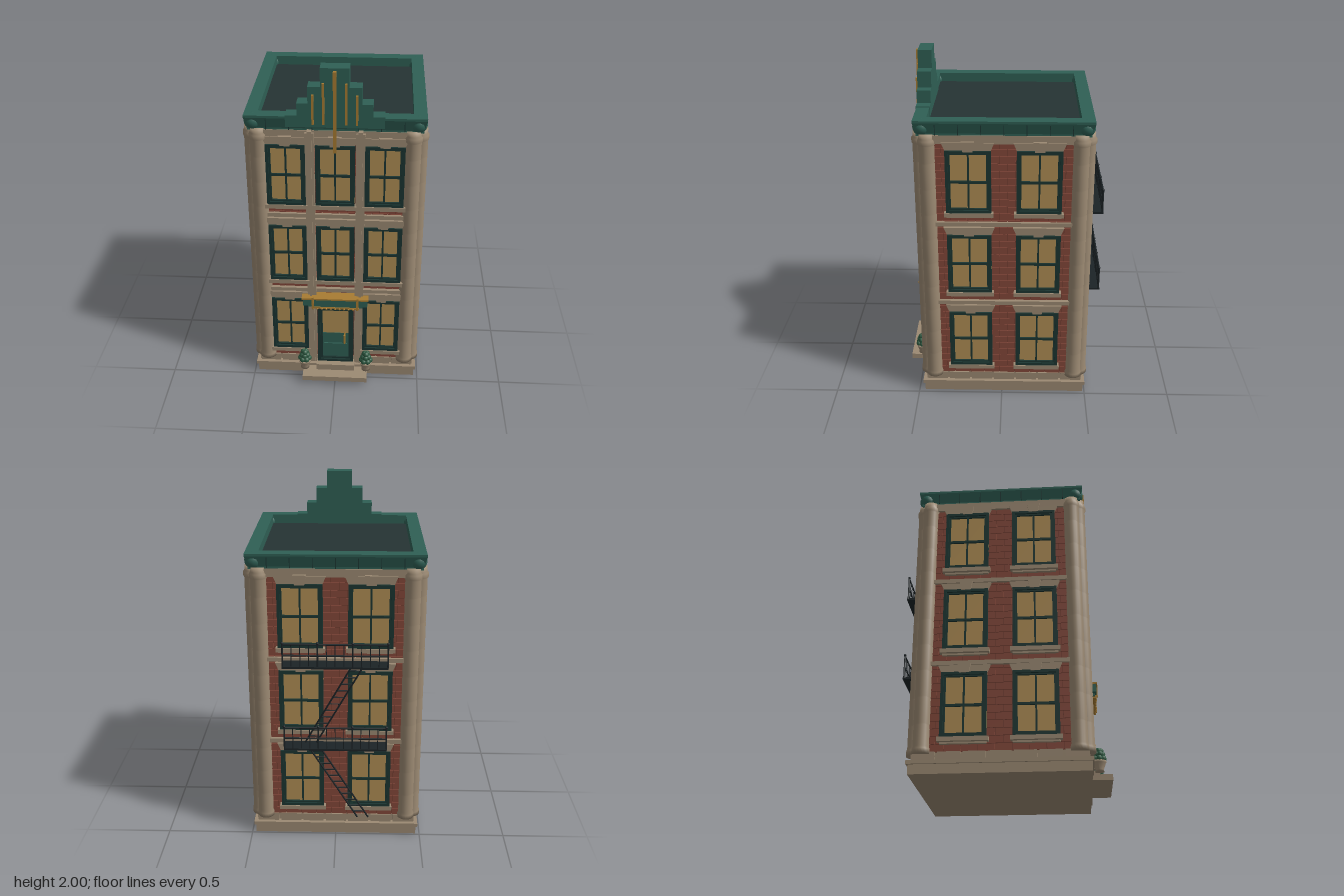
import * as THREE from 'three';
import { mergeGeometries } from 'three/addons/utils/BufferGeometryUtils.js';

const mat = (color) => new THREE.MeshStandardMaterial({ color });
const M = {
  stone: mat(0x9c8a73), brick: mat(0x84483a), mortar: mat(0x6a382c), green: mat(0x2f6055),
  frame: mat(0x1b3531), pane: mat(0xb08e55), gold: mat(0xa87c32), iron: mat(0x1c2326),
  roof: mat(0x263433), leaf: mat(0x2c5840),
};
const WALL = 0.455, ZC = -0.0125;

// box geometry given by its limits
const span = (x0, x1, y0, y1, z0, z1) =>
  new THREE.BoxGeometry(x1 - x0, y1 - y0, z1 - z0).translate((x0 + x1) / 2, (y0 + y1) / 2, (z0 + z1) / 2);

function add(parent, name, material, geos) {
  const list = [].concat(geos).map((g) => (g.index ? g.toNonIndexed() : g));
  const mesh = new THREE.Mesh(list.length > 1 ? mergeGeometries(list) : list[0], material);
  mesh.name = name;
  parent.add(mesh);
  return mesh;
}

function extrude(points, depth, z) {
  const shape = new THREE.Shape(points.map(([x, y]) => new THREE.Vector2(x, y)));
  return new THREE.ExtrudeGeometry(shape, { depth, bevelEnabled: false }).translate(0, 0, z);
}

// straight bar between two points
function bar(a, b, r) {
  const p = new THREE.Vector3(...a), q = new THREE.Vector3(...b), d = q.clone().sub(p);
  const g = new THREE.CylinderGeometry(r, r, d.length(), 6);
  g.applyQuaternion(new THREE.Quaternion().setFromUnitVectors(new THREE.Vector3(0, 1, 0), d.normalize()));
  return g.translate(...p.add(q).multiplyScalar(0.5).toArray());
}

// picture-frame border of bars around a rectangle
const border = (w, y0, y1, t, z0, z1) => [
  span(-w, -w + t, y0, y1, z0, z1), span(w - t, w, y0, y1, z0, z1),
  span(-w + t, w - t, y0, y0 + t, z0, z1), span(-w + t, w - t, y1 - t, y1, z0, z1)];

function makeWindow(w) {
  const g = new THREE.Group();
  g.name = 'window';
  const i = w - 0.022;
  add(g, 'windowPanes', M.pane, span(-w, w, 0, 0.36, WALL, WALL + 0.012));
  add(g, 'windowFrame', M.frame, [...border(w, 0, 0.365, 0.016, WALL, WALL + 0.034),
    ...border(w - 0.014, 0.012, 0.353, 0.012, WALL, WALL + 0.024),
    span(-0.005, 0.005, 0.02, 0.35, WALL, WALL + 0.021),
    span(-i, i, 0.172, 0.186, WALL, WALL + 0.022)]);
  add(g, 'windowSill', M.stone, [span(-w - 0.012, w + 0.012, -0.024, 0, WALL, WALL + 0.04),
    span(-w, w, -0.034, -0.024, WALL, WALL + 0.022)]);
  add(g, 'windowLintel', M.stone, [
    extrude([[-w, 0.365], [w, 0.365], [w + 0.018, 0.408], [-w - 0.018, 0.408]], 0.024, WALL),
    extrude([[-0.027, 0.36], [0.027, 0.36], [0.036, 0.415], [-0.036, 0.415]], 0.036, WALL)]);
  return g;
}

// running-bond brickwork on one wall
function bricks() {
  const out = [], h = 0.0425, w = 0.09, end = 0.385;
  for (let r = 0; r < 35; r++) {
    const y = 0.12 + r * h;
    for (let x = -end - (r % 2) * w / 2; x < end; x += w) {
      const a = Math.max(x, -end) + 0.0015, b = Math.min(x + w, end) - 0.0015;
      if (b - a > 0.01) out.push(span(a, b, y + 0.0015, y + h - 0.0015, WALL - 0.003, WALL + 0.004));
    }
  }
  return out;
}

function makeFacade(isFront) {
  const g = new THREE.Group();
  g.name = isFront ? 'frontFacade' : 'facade';
  add(g, 'brickwork', M.brick, bricks());
  const bands = [span(-0.4, 0.4, 1.598, 1.645, WALL - 0.01, WALL + 0.018)];
  for (const y of [0.605, 1.11]) bands.push(span(-0.4, 0.4, y, y + 0.024, WALL - 0.01, WALL + 0.02));
  for (let i = 0; i < 7; i++) bands.push(span(-0.46 + i * 0.1335, -0.34 + i * 0.1335, 0.07, 0.122, 0.44, 0.466));
  add(g, 'stoneBands', M.stone, bands);
  const cols = isFront ? [-0.268, 0, 0.268] : [-0.193, 0.193];
  for (let f = 0; f < 3; f++) for (const x of cols) {
    if (isFront && f === 0 && x === 0) continue;
    const win = makeWindow(isFront ? 0.107 : 0.124);
    win.position.set(x, 0.193 + f * 0.5025, 0);
    g.add(win);
  }
  return g;
}

function makeEntrance() {
  const g = new THREE.Group();
  g.name = 'entrance';
  // tall pilasters with raised fillets
  for (const s of [-1, 1]) {
    const x = s * 0.137;
    add(g, 'pilaster', M.stone, [span(x - 0.025, x + 0.025, 0.1, 1.635, WALL, 0.488),
      span(x - 0.012, x + 0.012, 0.1, 1.65, WALL, 0.5)]);
  }
  // door
  add(g, 'doorLeaf', M.green, [span(-0.09, 0.09, 0.1, 0.3, WALL, 0.468), span(-0.07, 0.07, 0.145, 0.225, WALL, 0.476)]);
  add(g, 'doorGlass', M.pane, span(-0.08, 0.08, 0.29, 0.48, WALL, 0.466));
  add(g, 'doorFrame', M.frame, [...border(0.107, 0.095, 0.5, 0.018, WALL, 0.49),
    ...border(0.09, 0.11, 0.485, 0.012, WALL, 0.478)]);
  add(g, 'doorHandle', M.gold, [bar([0.055, 0.25, 0.502], [0.055, 0.31, 0.502], 0.007),
    bar([0.055, 0.26, 0.46], [0.055, 0.26, 0.502], 0.004), bar([0.055, 0.3, 0.46], [0.055, 0.3, 0.502], 0.004)]);
  // canopy with gold trim
  add(g, 'canopy', M.green, [span(-0.188, 0.188, 0.537, 0.584, WALL, 0.522), span(-0.16, 0.16, 0.525, 0.54, WALL, 0.515)]);
  const trim = [span(-0.195, 0.195, 0.582, 0.592, WALL, 0.527), span(-0.14, 0.14, 0.516, 0.527, WALL, 0.52)];
  for (let i = -5; i <= 5; i++) trim.push(new THREE.SphereGeometry(0.007, 8, 6).translate(i * 0.026, 0.516, 0.518));
  for (const s of [-1, 1]) trim.push(span(s * 0.13 - 0.006, s * 0.13 + 0.006, 0.525, 0.6, 0.5, 0.53));
  add(g, 'canopyTrim', M.gold, trim);
  // steps
  add(g, 'entranceSteps', M.stone, [span(-0.195, 0.193, 0.026, 0.058, 0.44, 0.59), span(-0.115, 0.115, 0.055, 0.098, 0.44, 0.525)]);
  // potted shrubs
  const pot = [[0, 0], [0.026, 0], [0.022, 0.01], [0.035, 0.048], [0.038, 0.05], [0.038, 0.06], [0, 0.06]];
  for (const s of [-1, 1]) {
    const p = new THREE.Group();
    p.name = 'planter';
    p.position.set(s * 0.185, 0.074, 0.52);
    add(p, 'pot', M.stone, new THREE.LatheGeometry(pot.map(([x, y]) => new THREE.Vector2(x, y)), 14));
    const leaves = [];
    for (const [n, r, y] of [[6, 0.024, 0.07], [5, 0.016, 0.095], [3, 0.008, 0.115]])
      for (let i = 0; i < n; i++) {
        const a = (i / n) * Math.PI * 2 + y * 30;
        leaves.push(new THREE.IcosahedronGeometry(0.018, 1).translate(r * Math.cos(a), y, r * Math.sin(a)));
      }
    add(p, 'shrub', M.leaf, leaves);
    g.add(p);
  }
  return g;
}

// paired corner columns built of drums
function makeColumn() {
  const pts = [[0, 0.11], [0.05, 0.11], [0.05, 0.135], [0.045, 0.15]];
  for (let y = 0.27; y < 1.55; y += 0.152) pts.push([0.045, y - 0.004], [0.0415, y], [0.045, y + 0.004]);
  pts.push([0.045, 1.585], [0.05, 1.592], [0.05, 1.615], [0.042, 1.625], [0.042, 1.65], [0, 1.65]);
  const lathe = new THREE.LatheGeometry(pts.map(([x, y]) => new THREE.Vector2(x, y)), 20);
  return [lathe.clone().translate(0.449, 0, 0.415), lathe.translate(0.415, 0, 0.449)];
}

function makeParapet() {
  const g = new THREE.Group();
  g.name = 'steppedParapet';
  const steps = [[0.262, 1.735], [0.2, 1.805], [0.142, 1.897], [0.076, 2]];
  const right = steps.flatMap(([w, y], i) => [[w, i ? steps[i - 1][1] : 1.67], [w, y]]);
  add(g, 'parapetWall', M.green, extrude([...right, ...right.map(([x, y]) => [-x, y]).reverse()], 0.077, 0.41));
  const fins = [span(-0.009, 0.009, 1.53, 1.985, 0.48, 0.504)];
  for (const s of [-1, 1]) for (const [x, top] of [[0.06, 1.92], [0.116, 1.855]])
    fins.push(span(s * x - 0.006, s * x + 0.006, 1.69, top, 0.48, 0.498));
  add(g, 'parapetFins', M.gold, fins);
  return g;
}

function makeCornice() {
  const g = new THREE.Group();
  g.name = 'cornice';
  // flared ring swept round a square
  const prof = [[0.405, 1.64], [0.468, 1.64], [0.468, 1.655], [0.484, 1.715], [0.484, 1.728], [0.413, 1.728], [0.413, 1.64]];
  const ring = new THREE.LatheGeometry(prof.map(([r, y]) => new THREE.Vector2(r * Math.SQRT2, y)), 4, Math.PI / 4);
  const flat = ring.toNonIndexed();
  flat.computeVertexNormals();
  add(g, 'corniceRing', M.green, flat).material.side = THREE.DoubleSide;
  const balls = [], joints = [];
  for (const x of [-1, 1]) for (const z of [-1, 1]) balls.push(new THREE.SphereGeometry(0.047, 18, 12).translate(x * 0.44, 1.682, z * 0.44));
  add(g, 'corniceCorners', M.green, balls);
  for (let k = 0; k < 4; k++) for (let i = -3; i <= 3; i++)
    joints.push(span(i * 0.122 - 0.002, i * 0.122 + 0.002, 1.65, 1.727, 0.45, 0.482).rotateY(k * Math.PI / 2));
  add(g, 'corniceJoints', M.frame, joints);
  return g;
}

function makeFireEscape() {
  const g = new THREE.Group();
  g.name = 'fireEscape';
  for (const y of [0.61, 1.113]) {
    const geos = [span(-0.29, 0.29, y - 0.006, y + 0.006, -0.567, -0.455)];
    for (const h of [0.07, 0.135]) geos.push(bar([-0.287, y + h, -0.56], [0.287, y + h, -0.56], 0.005));
    for (let i = 0; i <= 12; i++) {
      const x = -0.287 + i * 0.0478, main = i % 4 === 0;
      geos.push(bar([x, y, -0.56], [x, y + 0.138, -0.56], main ? 0.005 : 0.003));
      if (main) geos.push(new THREE.SphereGeometry(0.008, 8, 6).translate(x, y + 0.142, -0.56));
    }
    add(g, 'landing', M.iron, geos);
  }
  // slanted ladders
  for (const [x0, y0, x1, y1] of [[-0.16, 0.13, 0.13, 0.61], [0.14, 0.625, -0.13, 1.113]]) {
    const z = -0.505, geos = [];
    for (const s of [-0.032, 0.032]) geos.push(bar([x0 + s, y0, z], [x1 + s, y1, z], 0.005));
    for (let i = 1; i < 12; i++) {
      const x = x0 + (x1 - x0) * i / 12, y = y0 + (y1 - y0) * i / 12;
      geos.push(bar([x - 0.032, y, z], [x + 0.032, y, z], 0.004));
    }
    add(g, 'ladder', M.iron, geos);
  }
  return g;
}

export function createModel() {
  const model = new THREE.Group();
  const b = new THREE.Group();
  b.name = 'building';
  b.position.z = ZC;
  model.add(b);
  add(b, 'plinth', M.stone, [span(-0.477, 0.477, 0, 0.056, -0.477, 0.477), span(-0.487, 0.487, 0.053, 0.074, -0.487, 0.487),
    span(-0.452, 0.452, 0.07, 0.122, -0.452, 0.452)]);
  add(b, 'wallCore', M.mortar, span(-0.45, 0.45, 0.12, 1.64, -0.45, 0.45));
  add(b, 'roofDeck', M.roof, span(-0.415, 0.415, 1.63, 1.675, -0.415, 0.415));
  for (let k = 0; k < 4; k++) {
    const facade = makeFacade(k === 0);
    facade.rotation.y = k * Math.PI / 2;
    b.add(facade);
    add(b, 'cornerColumns', M.stone, makeColumn()).rotation.y = k * Math.PI / 2;
  }
  b.add(makeEntrance(), makeCornice(), makeParapet(), makeFireEscape());
  return model;
}
